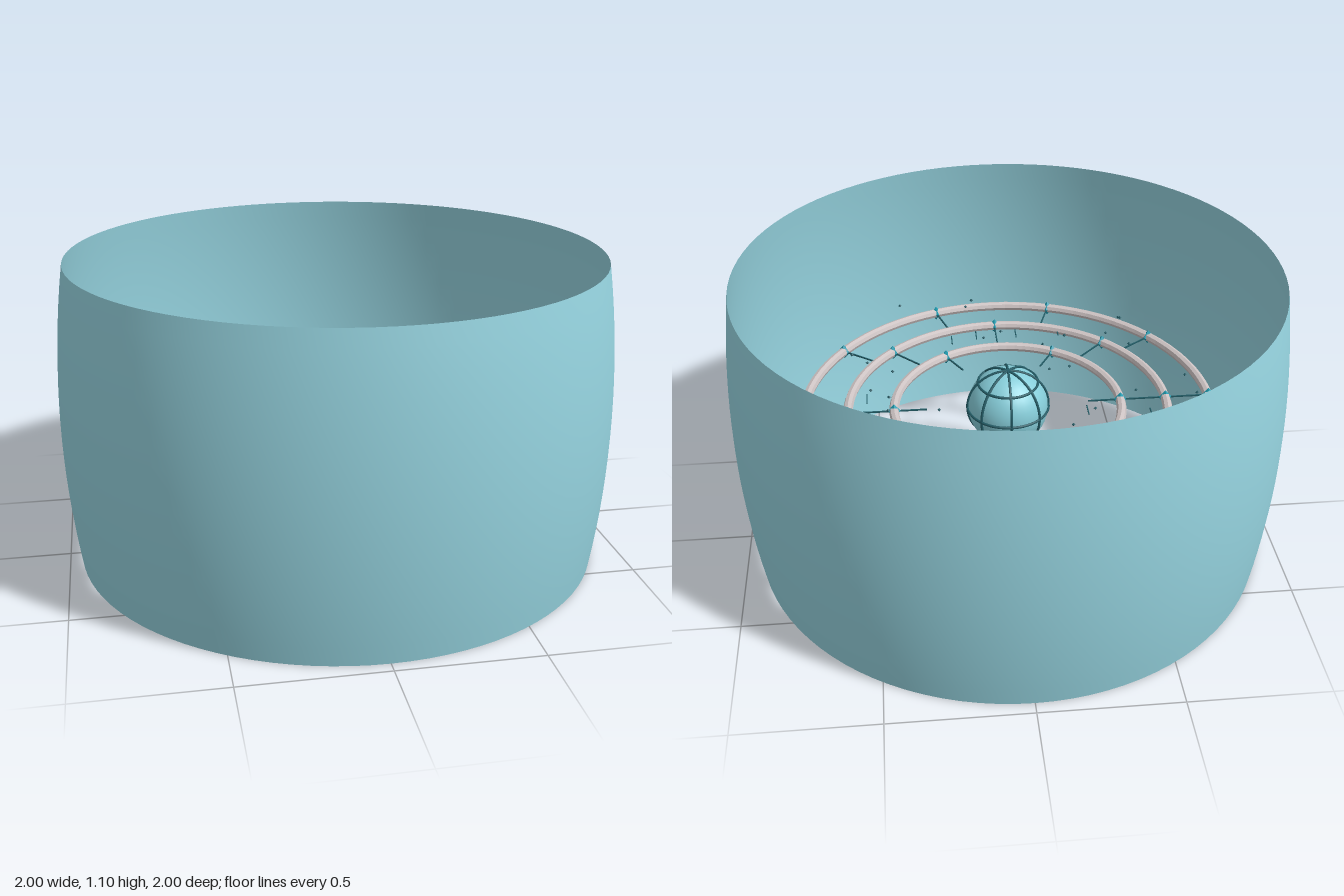
import * as THREE from 'three';

const MID = 0.55; // height of the inner assembly

function material(name, color, extra = {}) {
  const m = new THREE.MeshStandardMaterial({ color, ...extra });
  m.name = name;
  return m;
}

function add(parent, name, geometry, mat) {
  const mesh = new THREE.Mesh(geometry, mat);
  mesh.name = name;
  parent.add(mesh);
  return mesh;
}

// Small repeatable number generator
function seeded(seed) {
  return () => (seed = (seed * 16807) % 2147483647) / 2147483647;
}

export function createModel() {
  const model = new THREE.Group();
  model.name = 'ringedChamber';
  const shell = material('pale aqua', 0x96d4e0, { side: THREE.DoubleSide });
  const aqua = material('core aqua', 0x86cdd9);
  const grey = material('warm grey', 0xcdc3c3, { flatShading: true });
  const teal = material('bright teal', 0x1e9db2, { flatShading: true });
  const dark = material('dark teal', 0x235c66);

  // Open barrel wall, bulging at half height
  const profile = [];
  for (let i = 0; i <= 16; i++) {
    const t = i / 8 - 1;
    profile.push(new THREE.Vector2(1 - 0.043 * t * t, MID + t * 0.55));
  }
  add(model, 'barrelWall', new THREE.LatheGeometry(profile, 96), shell);

  // Central ball in a cage of meridians and parallels
  const core = new THREE.Group();
  core.name = 'core';
  core.position.y = MID;
  model.add(core);
  add(core, 'coreBall', new THREE.SphereGeometry(0.148, 32, 20), aqua);
  for (let i = 0; i < 4; i++) {
    const bar = add(core, 'cageMeridian', new THREE.TorusGeometry(0.15, 0.005, 6, 48), dark);
    bar.rotation.y = (i * Math.PI) / 4;
  }
  for (const lat of [-0.75, 0, 0.75]) {
    const bar = add(core, 'cageParallel',
      new THREE.TorusGeometry(0.15 * Math.cos(lat), 0.005, 6, 48), dark);
    bar.rotation.x = Math.PI / 2;
    bar.position.y = 0.15 * Math.sin(lat);
  }

  // Concentric rings with studs and inward spokes
  for (const [radius, count, reach] of [[0.42, 6, 0.12], [0.59, 8, 0.155], [0.753, 10, 0.15]]) {
    const ring = new THREE.Group();
    ring.name = 'ring';
    ring.position.y = MID;
    model.add(ring);
    add(ring, 'ringTube', new THREE.TorusGeometry(radius, 0.018, 8, 80), grey)
      .rotation.x = Math.PI / 2;
    for (let i = 0; i < count; i++) {
      const arm = new THREE.Group();
      arm.name = 'studAndSpoke';
      arm.rotation.y = (i * Math.PI * 2) / count;
      ring.add(arm);
      const stud = add(arm, 'stud', new THREE.OctahedronGeometry(0.025), teal);
      stud.position.x = radius;
      stud.scale.y = 1.2;
      add(arm, 'spoke', new THREE.BoxGeometry(reach, 0.005, 0.005), dark)
        .position.x = radius - reach / 2;
    }
  }

  // Short floating slivers between the rings
  const slivers = [[-0.52, -0.1], [-0.29, -0.06], [-0.1, -0.28], [0.08, -0.53], [0.52, 0.09],
    [-0.08, 0.52], [0.08, 0.52], [0.18, 0.49], [-0.25, 0.52]];
  for (const [x, z] of slivers) {
    add(model, 'sliver', new THREE.BoxGeometry(0.004, 0.004, 0.06), dark).position.set(x, MID, z);
  }

  // Drifting specks
  const random = seeded(71);
  const speck = new THREE.OctahedronGeometry(0.007);
  for (let i = 0; i < 42; i++) {
    const a = random() * Math.PI * 2;
    const r = 0.25 + random() * 0.55;
    add(model, 'speck', speck, dark)
      .position.set(r * Math.cos(a), MID - 0.1 + random() * 0.25, r * Math.sin(a));
  }
  return model;
}
